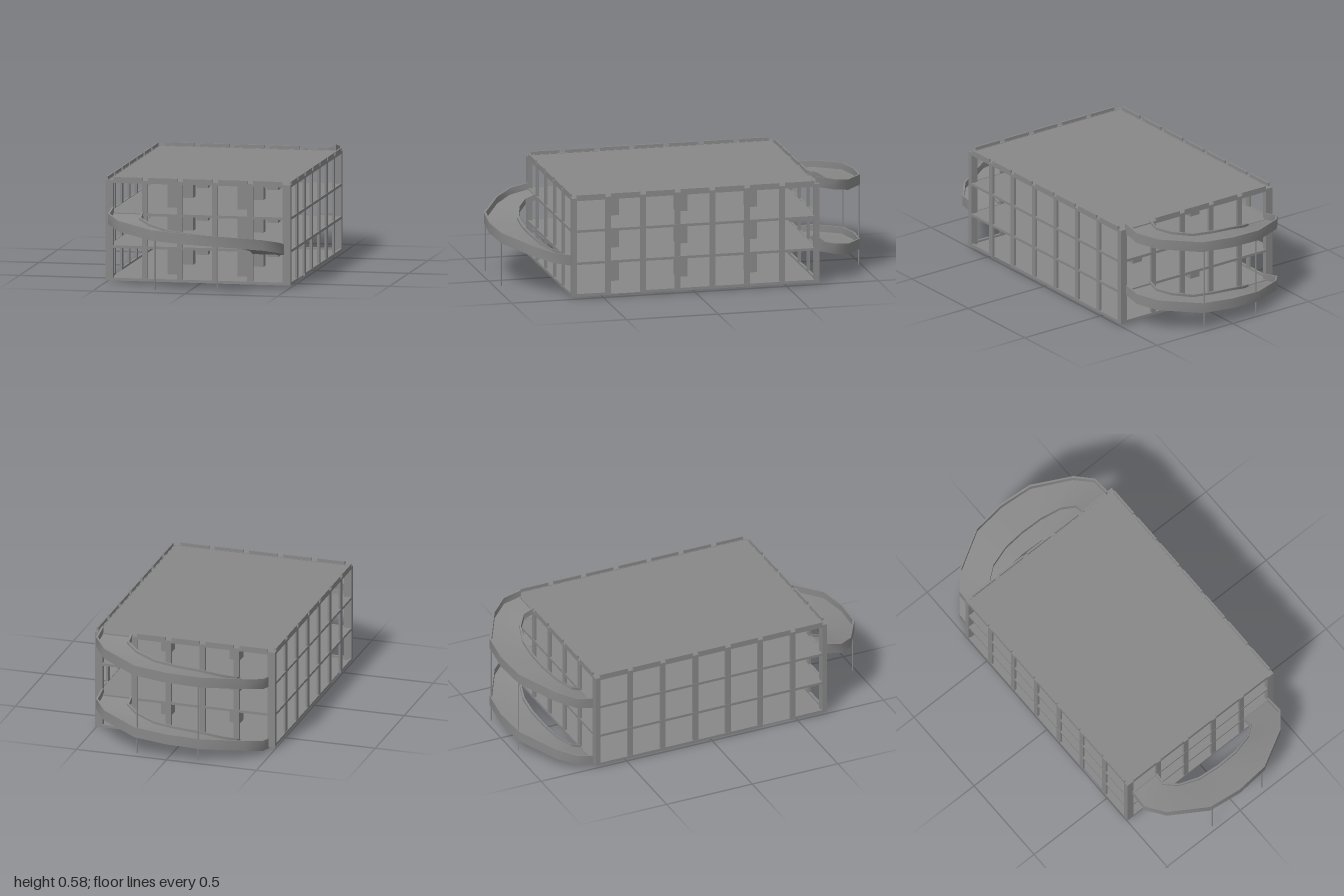
import * as THREE from 'three';
import { toCreasedNormals } from 'three/addons/utils/BufferGeometryUtils.js';

const mat = new THREE.MeshStandardMaterial({ color: 0x888888, side: THREE.DoubleSide });
const X = 0.5, ZF = 0.67, ZB = -0.68;       // building footprint
const BASE = 0.012, ROOF = 0.548;
const LEVELS = [0.027, 0.2, 0.375, ROOF];   // top of each deck beam
const COL_X = [-0.286, -0.097, 0.092, 0.282];
const COL_Z = [0.473, 0.282, 0.094, -0.096, -0.286, -0.477];
const THIN = 0.013;                         // depth of beams and columns

// Box given by its minimum and maximum corners
function box(parent, name, x0, x1, y0, y1, z0, z1) {
  const mesh = new THREE.Mesh(new THREE.BoxGeometry(x1 - x0, y1 - y0, z1 - z0), mat);
  mesh.position.set((x0 + x1) / 2, (y0 + y1) / 2, (z0 + z1) / 2);
  mesh.name = name;
  parent.add(mesh);
}

// Half of the ramp plan, from the building out to the middle of the bend
const OUTER = [[0.465, 0.668], [0.465, 0.77], [0.39, 0.862], [0.185, 0.979], [0, 0.998]];
const INNER = [[0.295, 0.668], [0.295, 0.725], [0.23, 0.774], [0.12, 0.803], [0, 0.81]];
const RISE = [0, 0.26, 0.54, 0.86, 1];
const mirrored = (half) => [...half, ...half.slice(0, -1).reverse().map(([x, z]) => [-x, z])];

// U-shaped ramp section swept round the bend, from yPlus at +x to yMinus at -x
function ramp(name, yPlus, yMinus, back) {
  const outer = mirrored(OUTER), inner = mirrored(INNER);
  const rise = RISE.map((r) => r / 2);
  const t = [...rise, ...rise.slice(0, -1).reverse().map((r) => 1 - r)];
  // Across the ramp: low kerb on the inside, higher wall on the outside
  const rim = 0.06, low = -0.02, kerb = 0.013, wall = 0.036;
  const section = [[0, low], [1, low], [1, wall], [1 - rim, wall], [1 - rim, 0], [rim, 0], [rim, kerb], [0, kerb]];
  const n = section.length, pos = [], idx = [];
  outer.forEach(([ox, oz], i) => {
    const [ix, iz] = inner[i];
    const y = yPlus + (yMinus - yPlus) * t[i];
    for (const [s, dy] of section) {
      const z = iz + (oz - iz) * s;
      pos.push(ix + (ox - ix) * s, y + dy, back ? -z - 0.002 : z);
    }
  });
  const quad = (a, b, c, d) => (back ? idx.push(a, c, b, a, d, c) : idx.push(a, b, c, a, c, d));
  for (let i = 0; i < outer.length - 1; i++)
    for (let j = 0; j < n; j++) {
      const k = (j + 1) % n;
      quad(i * n + j, i * n + k, (i + 1) * n + k, (i + 1) * n + j);
    }
  // End caps: deck, outer wall and inner kerb
  const last = (outer.length - 1) * n;
  for (const [a, b, c, d] of [[0, 1, 4, 5], [1, 2, 3, 4], [0, 5, 6, 7]]) {
    quad(d, c, b, a);
    quad(last + a, last + b, last + c, last + d);
  }
  const geo = new THREE.BufferGeometry();
  geo.setAttribute('position', new THREE.Float32BufferAttribute(pos, 3));
  geo.setIndex(idx);
  const mesh = new THREE.Mesh(toCreasedNormals(geo, 0.9), mat);
  mesh.name = name;
  return mesh;
}

export function createModel() {
  const garage = new THREE.Group();
  garage.name = 'parkingGarage';

  // Thin decks with edge beams
  LEVELS.forEach((top, i) => {
    const beams = new THREE.Group();
    beams.name = 'edgeBeams' + i;
    garage.add(beams);
    const bottom = top - (i === 0 ? 0.015 : 0.014);
    const deckTop = i === 0 ? BASE + 0.004 : top - 0.002;
    box(garage, i === 3 ? 'roofDeck' : 'deck' + i, -X + 0.01, X - 0.01,
      deckTop - (i === 0 ? 0.003 : 0.008), deckTop, ZB + 0.005, ZF - 0.005);
    box(beams, 'frontBeam', -X, X, bottom, top, ZF - THIN, ZF);
    box(beams, 'backBeam', -X, X, bottom, top, ZB, ZB + THIN);
    for (const a of [-X, X - THIN]) {
      if (i === 0) { // ground level leaves the vehicle entrance open
        box(beams, 'sideBeam', a, a + THIN, bottom, top, ZB, COL_Z[1] + 0.015);
        box(beams, 'sideBeam', a, a + THIN, bottom, top, COL_Z[0] - 0.015, ZF);
      } else box(beams, 'sideBeam', a, a + THIN, bottom, top, ZB, ZF);
    }
  });

  // Perimeter columns
  const columns = new THREE.Group();
  columns.name = 'perimeterColumns';
  garage.add(columns);
  const yTop = ROOF - 0.004;
  for (const x of COL_X) {
    box(columns, 'frontColumn', x - 0.015, x + 0.015, BASE, yTop, ZF - THIN, ZF - 0.001);
    box(columns, 'backColumn', x - 0.015, x + 0.015, BASE, yTop, ZB + 0.001, ZB + THIN);
  }
  for (const s of [-1, 1]) {
    const side = s < 0 ? -X + 0.001 : X - THIN;
    for (const z of COL_Z)
      box(columns, 'sideColumn', side, side + THIN - 0.001, BASE, yTop, z - 0.015, z + 0.015);
    const corner = s < 0 ? -X : X - 0.041;
    box(columns, 'cornerColumn', corner, corner + 0.041, BASE, yTop, ZF - 0.027, ZF);
    box(columns, 'cornerColumn', corner, corner + 0.041, BASE, yTop, ZB, ZB + 0.027);
  }

  // Interior columns, their feet just below the ground deck
  for (const x of [-0.19, 0.19])
    for (const z of [-0.38, 0, 0.375])
      box(garage, 'interiorColumn', x - 0.03, x + 0.03, BASE - 0.002, yTop, z - 0.03, z + 0.03);

  // Roof parapet panels, one per bay, open where the ramp arrives
  const parapet = new THREE.Group();
  parapet.name = 'parapet';
  garage.add(parapet);
  const pTop = 0.565, g = 0.016;
  const xs = [-0.473, ...COL_X, 0.473], zs = [ZF - 0.011, ...COL_Z, ZB + 0.011];
  for (let i = 0; i < xs.length - 1; i++) {
    box(parapet, 'frontParapet', xs[i] + g, xs[i + 1] - g, ROOF - 0.004, pTop, ZF - 0.01, ZF);
    if (i < xs.length - 2)
      box(parapet, 'backParapet', xs[i] + g, xs[i + 1] - g, ROOF - 0.004, pTop, ZB, ZB + 0.01);
  }
  for (let i = 0; i < zs.length - 1; i++)
    for (const a of [-X, X - 0.01])
      box(parapet, 'sideParapet', a, a + 0.01, ROOF - 0.004, pTop, zs[i + 1] + g, zs[i] - g);

  // Spiral ramps: back, front, back
  garage.add(ramp('lowerBackRamp', 0.195, 0.02, true));
  garage.add(ramp('frontRamp', 0.195, 0.37, false));
  garage.add(ramp('upperBackRamp', 0.545, 0.37, true));

  // Slender posts under the ramps
  for (const x of [-0.17, 0.17])
    for (const [z, mid, slope] of [[0.975, 0.282, -0.07], [-0.977, 0.457, 0.07]]) {
      const h = mid + slope * x - 0.01 - BASE;
      const post = new THREE.Mesh(new THREE.CylinderGeometry(0.004, 0.004, h, 8), mat);
      post.position.set(x, BASE + h / 2, z);
      post.name = 'rampPost';
      garage.add(post);
    }
  return garage;
}
